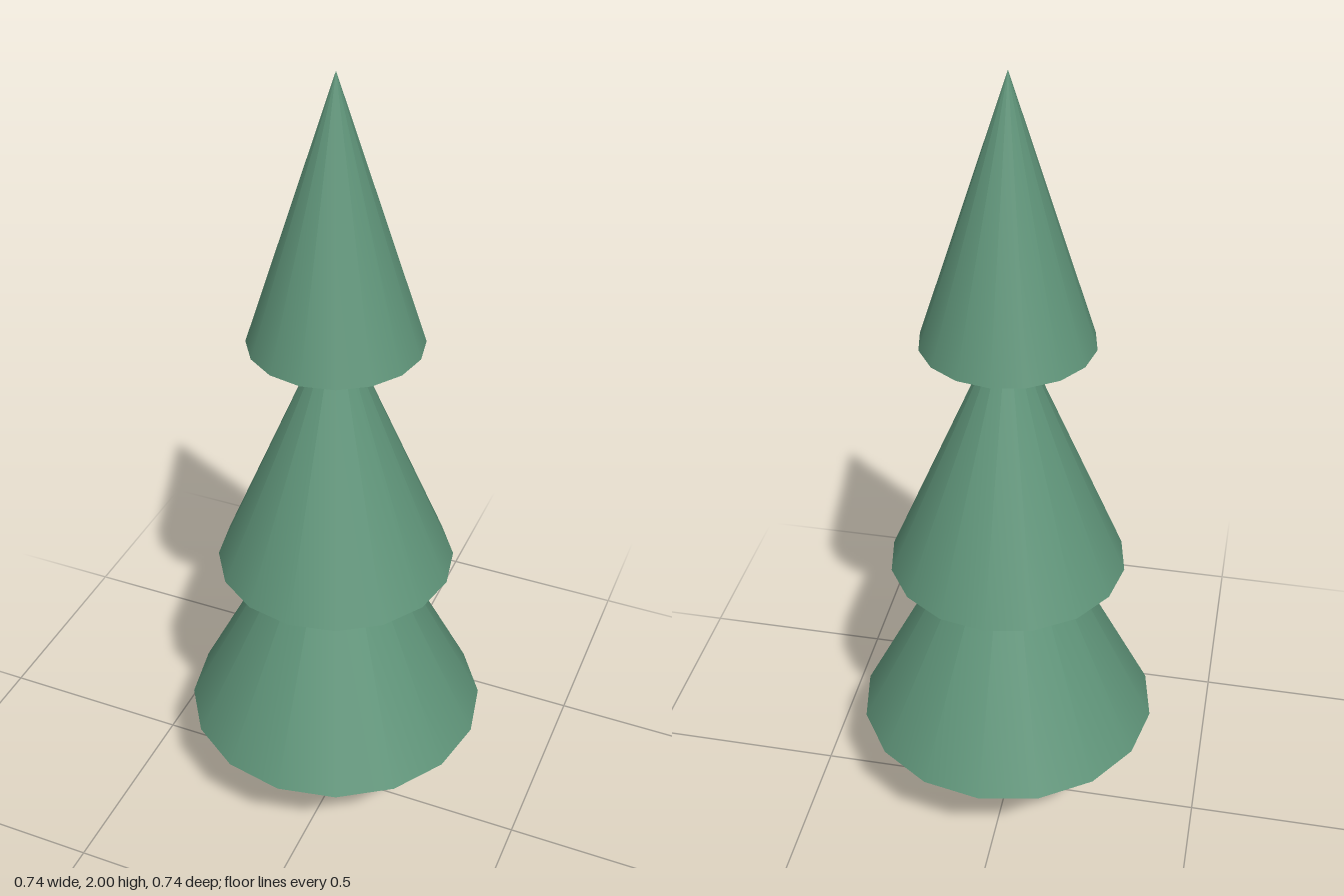
import * as THREE from 'three';

export function createModel() {
  const tree = new THREE.Group();
  tree.name = 'pineTree';

  const foliage = new THREE.MeshStandardMaterial({ color: 0x5f9479 });
  const bark = new THREE.MeshStandardMaterial({ color: 0x8b7560 });

  // Tapered trunk, running a little way into the lowest tier
  const trunkHeight = 0.4;
  const trunk = new THREE.Mesh(new THREE.CylinderGeometry(0.03, 0.043, trunkHeight, 12), bark);
  trunk.name = 'trunk';
  trunk.position.y = trunkHeight / 2;
  tree.add(trunk);

  // Three overlapping cones: [name, radius, base height, tip height]
  const tiers = [
    ['lowerBranches', 0.37, 0.32, 1.06],
    ['middleBranches', 0.285, 0.78, 1.46],
    ['upperBranches', 0.2, 1.38, 2],
  ];
  for (const [name, radius, base, tip] of tiers) {
    const tier = new THREE.Mesh(new THREE.ConeGeometry(radius, tip - base, 16), foliage);
    tier.name = name;
    tier.position.y = (base + tip) / 2;
    tree.add(tier);
  }

  return tree;
}
